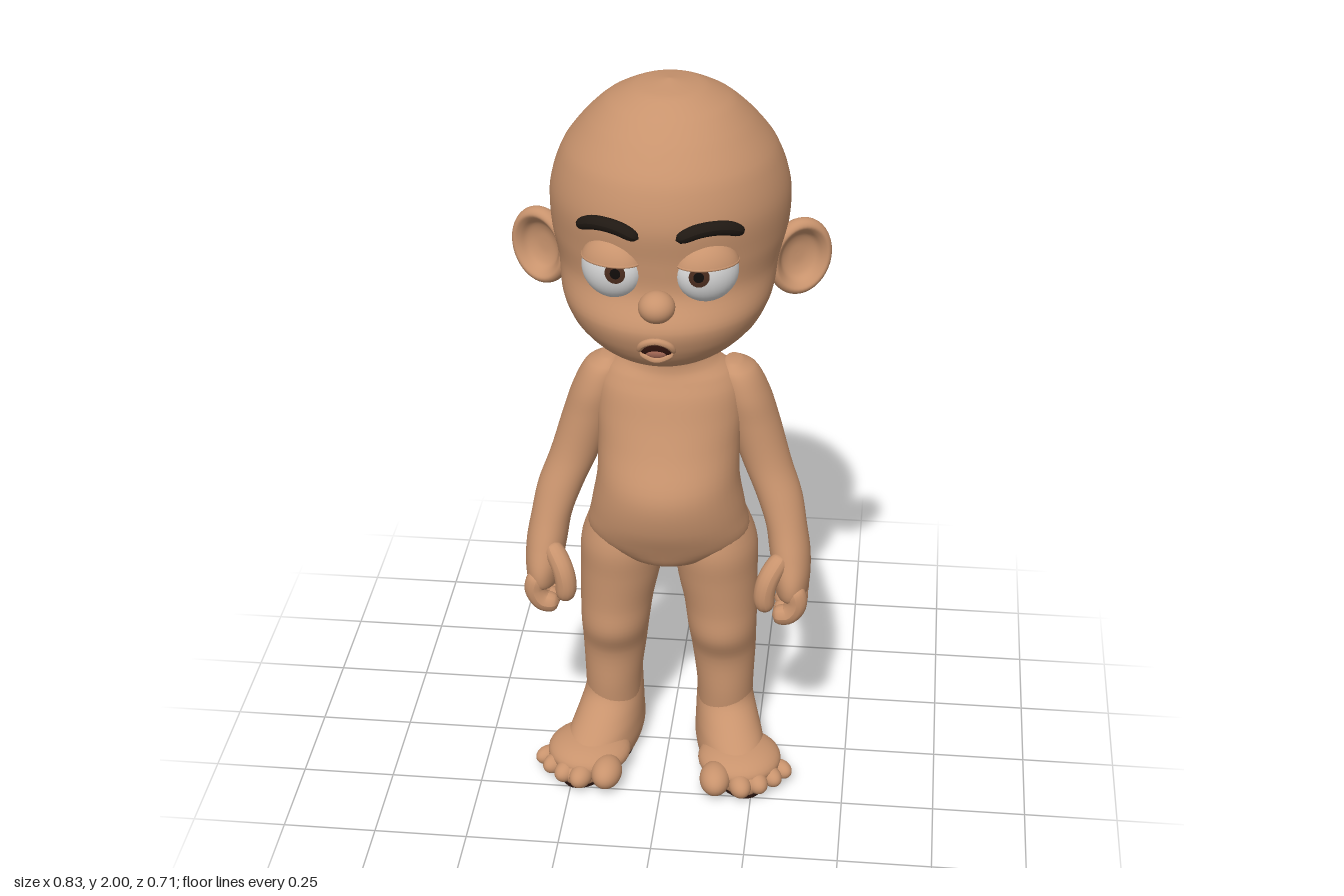
import * as THREE from 'three';

const mat = (name, color) => {
  const m = new THREE.MeshStandardMaterial({ color });
  m.name = name;
  return m;
};

// Smooth body through horizontal oval sections [x, y, z, radiusX, radiusZ], listed top to bottom
function loft(rings, s = 1, steps = 5, sides = 40) {
  const a = new THREE.CatmullRomCurve3(rings.map(r => new THREE.Vector3(r[0] * s, r[1], r[2])), false, 'centripetal');
  const b = new THREE.CatmullRomCurve3(rings.map(r => new THREE.Vector3(r[3], r[1], r[4])), false, 'centripetal');
  const n = (rings.length - 1) * steps;
  const pos = [], idx = [];
  for (let i = 0; i <= n; i++) {
    const c = a.getPoint(i / n), q = b.getPoint(i / n);
    for (let j = 0; j < sides; j++) {
      const t = j / sides * Math.PI * 2;
      pos.push(c.x + Math.max(q.x, 0.001) * Math.sin(t), c.y, c.z + Math.max(q.z, 0.001) * Math.cos(t));
      if (i < n) {
        const k = i * sides, j2 = (j + 1) % sides;
        idx.push(k + j, k + sides + j, k + j2, k + j2, k + sides + j, k + sides + j2);
      }
    }
  }
  const top = pos.length / 3, t = rings[0], e = rings[rings.length - 1];
  pos.push(t[0] * s, t[1], t[2], e[0] * s, e[1], e[2]);
  for (let j = 0; j < sides; j++) {
    const j2 = (j + 1) % sides;
    idx.push(top, j, j2, top + 1, n * sides + j2, n * sides + j);
  }
  const g = new THREE.BufferGeometry();
  g.setAttribute('position', new THREE.Float32BufferAttribute(pos, 3));
  g.setIndex(idx);
  g.computeVertexNormals();
  return g;
}

// Round-ended tube along a curve
function digit(points, r, s = 1) {
  const curve = new THREE.CatmullRomCurve3(points.map(p => new THREE.Vector3(p[0] * s, p[1], p[2])));
  const n = 24, m = 14, g = new THREE.TubeGeometry(curve, n, r, m);
  const p = g.attributes.position, v = new THREE.Vector3();
  for (let i = 0; i <= n; i++) {
    const c = curve.getPointAt(i / n);
    const f = Math.max(0.01, Math.sqrt(1 - Math.pow(2 * i / n - 1, 6)));
    for (let j = 0; j <= m; j++) {
      const k = i * (m + 1) + j;
      v.fromBufferAttribute(p, k).sub(c).multiplyScalar(f).add(c);
      p.setXYZ(k, v.x, v.y, v.z);
    }
  }
  g.computeVertexNormals();
  return g;
}

export function createModel() {
  const root = new THREE.Group();
  const skin = mat('skin', 0xc8936d), white = mat('eye white', 0xd6d6d6), hair = mat('brow hair', 0x201913);
  const brown = mat('iris brown', 0x4a2c1e), black = mat('pupil black', 0x100c0a);
  const dark = mat('mouth dark', 0x35150f), pink = mat('tongue', 0xb0705c), soleMat = mat('sole dark', 0x27130e);

  const add = (name, geo, m, parent = root) => {
    const mesh = new THREE.Mesh(geo, m);
    mesh.name = name;
    parent.add(mesh);
    return mesh;
  };
  const ball = (name, m, p, r, rotY = 0, parent = root) => {
    const b = add(name, new THREE.SphereGeometry(1, 32, 20), m, parent);
    b.position.set(...p);
    b.scale.set(...r);
    b.rotation.y = rotY;
    return b;
  };
  // [y, half width, front z, back z] to a loft section
  const section = ([y, w, f, b]) => [0, y, (f + b) / 2, w, (f - b) / 2];

  // Head
  add('head', loft([
    [2, .005, .0, -.01], [1.985, .09, .09, -.1], [1.95, .16, .155, -.17], [1.9, .213, .21, -.235],
    [1.82, .272, .27, -.312], [1.72, .304, .297, -.353], [1.62, .302, .288, -.34], [1.54, .283, .288, -.305],
    [1.46, .268, .328, -.25], [1.4, .237, .315, -.19], [1.35, .185, .28, -.14], [1.31, .13, .21, -.11],
    [1.285, .07, .12, -.08], [1.28, .005, .03, .02]
  ].map(section), 1, 6, 56), skin);

  // Nose
  ball('nose', skin, [0, 1.525, .31], [.046, .04, .047]);

  // Mouth: dark arch with the tongue and lips
  const mouth = new THREE.Group();
  mouth.name = 'mouth';
  mouth.position.set(0, 1.415, .324);
  mouth.rotation.x = .33;
  root.add(mouth);
  ball('mouthOpening', dark, [0, 0, 0], [.04, .03, .006], 0, mouth);
  ball('tongue', pink, [0, -.013, .002], [.026, .015, .007], 0, mouth);
  add('upperLip', digit([[-.046, -.015, -.006], [-.032, .016, 0], [0, .031, .003], [.032, .016, 0], [.046, -.015, -.006]], .009), skin, mouth);
  add('lowerLip', digit([[-.042, -.018, -.004], [0, -.032, .003], [.042, -.018, -.004]], .011), skin, mouth);

  // Neck and torso
  add('torso', loft([
    [1.34, .1, .1, -.11], [1.25, .1, .075, -.125], [1.215, .125, .075, -.14], [1.19, .165, .085, -.15],
    [1.15, .188, .105, -.16], [1.08, .195, .13, -.166], [1, .19, .165, -.162], [.9, .19, .213, -.155],
    [.8, .207, .205, -.15], [.72, .215, .172, -.147], [.67, .14, .145, -.125], [.64, .05, .08, -.06], [.635, .005, .01, 0]
  ].map(section)), skin);

  for (const s of [1, -1]) {
    const side = s > 0 ? 'left' : 'right';

    // Eye: white, iris, pupil and heavy upper lid
    const eye = new THREE.Group();
    eye.name = side + 'Eye';
    eye.position.set(.118 * s, 1.597, .243);
    eye.rotation.y = .42 * s;
    eye.scale.set(.081, .078, .056);
    root.add(eye);
    add('eyeball', new THREE.SphereGeometry(1, 32, 24), white, eye);
    [['iris', 1.012, .34, brown], ['pupil', 1.022, .17, black]].forEach(([name, r, a, m]) => {
      const cap = add(name, new THREE.SphereGeometry(r, 24, 6, 0, Math.PI * 2, 0, a).rotateX(Math.PI / 2), m, eye);
      cap.rotation.set(-.12, -.5 * s, 0, 'YXZ');
    });
    const lidAngle = 1.24;
    add('upperLid', new THREE.SphereGeometry(1.07, 32, 12, 0, Math.PI * 2, 0, lidAngle), skin, eye);
    const rim = add('lidEdge', new THREE.TorusGeometry(Math.sin(lidAngle) * 1.035, .045, 8, 40), skin, eye);
    rim.rotation.x = Math.PI / 2;
    rim.position.y = Math.cos(lidAngle) * 1.07;

    // Eyebrow
    add(side + 'Eyebrow', digit([[.045, 1.7, .297], [.1, 1.722, .285], [.16, 1.72, .254], [.205, 1.696, .216]], .018, s), hair);

    // Ear: hollow bowl with a rolled rim
    const profile = [[0, -.032], [.05, -.03], [.085, -.018], [.1, .004], [.097, .024], [.084, .032], [.07, .022], [.055, .004], [.03, -.006], [0, -.008]];
    const pts = new THREE.SplineCurve(profile.map(p => new THREE.Vector2(...p))).getPoints(36);
    pts.forEach(p => { p.x = Math.max(p.x, 0); });
    const ear = add(side + 'Ear', new THREE.LatheGeometry(pts, 40).rotateX(Math.PI / 2), skin);
    ear.position.set(.328 * s, 1.527, -.025);
    ear.rotation.set(0, .45 * s, -.12 * s);
    ear.scale.set(.85, 1.04, 1);

    // Arm and palm
    add(side + 'Arm', loft([
      [.165, 1.208, -.05, .02, .03], [.175, 1.183, -.05, .052, .065], [.195, 1.12, -.05, .066, .082],
      [.218, 1.04, -.048, .07, .08], [.258, .92, -.03, .066, .068], [.295, .83, -.005, .062, .065],
      [.318, .75, .02, .055, .066], [.33, .68, .035, .055, .08], [.337, .61, .045, .05, .095],
      [.338, .565, .045, .042, .088], [.335, .545, .045, .01, .03]
    ], s), skin);

    // Fingers and thumb
    [-.032, .018, .068, .114].forEach((z, i) => {
      const drop = [.012, 0, -.004, .008][i];
      add(side + 'Finger', digit([[.345, .61, z], [.355, .55 + drop, z], [.335, .515 + drop, z], [.29, .508 + drop, z]], .029, s), skin);
    });
    add(side + 'Thumb', digit([[.315, .69, .085], [.277, .63, .122], [.268, .58, .128], [.275, .535, .122]], .029, s), skin);

    // Leg
    add(side + 'Leg', loft([
      [.12, .79, 0, .08, .11], [.126, .69, 0, .112, .136], [.132, .6, .005, .11, .125], [.143, .5, .01, .1, .114],
      [.148, .42, .013, .094, .113], [.152, .34, -.004, .088, .098], [.157, .22, -.005, .078, .094], [.158, .1, -.01, .075, .088]
    ], s), skin);

    // Foot, turned outward
    const foot = new THREE.Group();
    foot.name = side + 'Foot';
    foot.position.set(.155 * s, 0, -.015);
    foot.rotation.y = .3 * s;
    root.add(foot);
    add('footBody', loft([
      [0, .24, 0, .074, .09], [0, .18, .004, .077, .1], [0, .13, .03, .083, .135], [0, .09, .06, .088, .175],
      [0, .045, .085, .091, .208], [0, .015, .09, .084, .2], [0, .005, .09, .07, .185]
    ]), skin, foot);
    const sole = add('sole', new THREE.CylinderGeometry(1, 1, .008, 40), soleMat, foot);
    sole.scale.set(.084, 1, .185);
    sole.position.set(.005 * s, .004, .1);
    ball('ballOfFoot', skin, [.21 * s, .056, .14], [.115, .05, .115], .3 * s);

    // Toes, big toe on the inner side
    [[.15, .24, .042], [.22, .25, .031], [.265, .228, .029], [.302, .194, .027], [.328, .155, .025]].forEach(([x, z, r], i) =>
      ball(side + 'Toe' + (i + 1), skin, [x * s, r + .008, z], [r, r, r * 1.4], (.1 + i * .16) * s));
  }
  return root;
}
